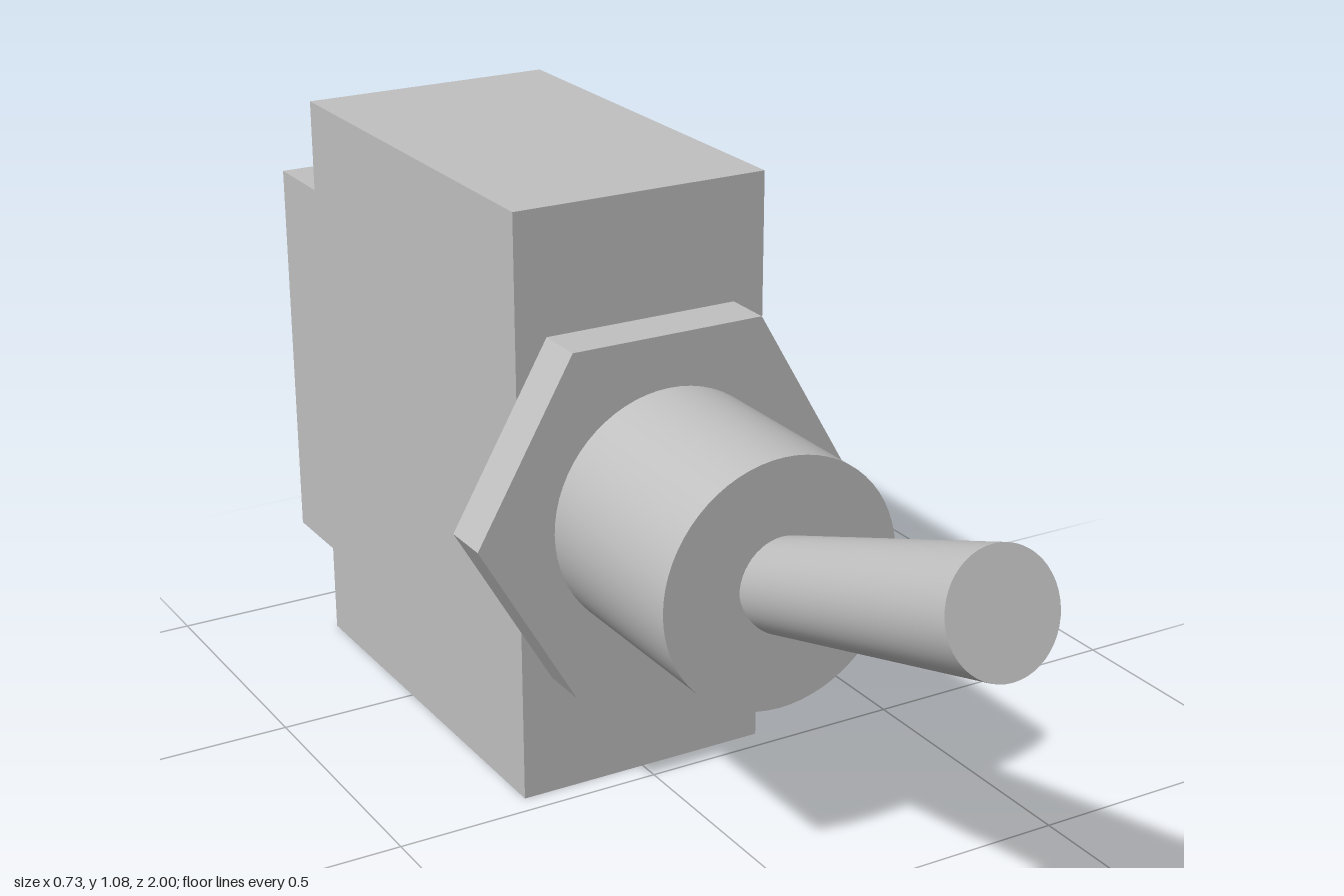
import * as THREE from 'three';
import { toCreasedNormals } from 'three/addons/utils/BufferGeometryUtils.js';

const MID_Y = 0.5375; // height of the switch axis

export function createModel() {
  const group = new THREE.Group();
  const grey = new THREE.MeshStandardMaterial({ color: 0xc0c0c0 });
  grey.name = 'grey';

  const add = (name, geometry) => {
    const mesh = new THREE.Mesh(geometry, grey);
    mesh.name = name;
    group.add(mesh);
    return mesh;
  };

  // Box centred on the switch axis, between two depths
  const block = (name, width, height, z0, z1) =>
    add(name, new THREE.BoxGeometry(width, height, z1 - z0).translate(0, MID_Y, (z0 + z1) / 2));

  // Cylinder or prism lying along z, between two depths
  const barrel = (name, radius, sides, z0, z1) => {
    const geometry = new THREE.CylinderGeometry(radius, radius, z1 - z0, sides, 1, false, Math.PI / 2)
      .rotateX(Math.PI / 2)
      .translate(0, MID_Y, (z0 + z1) / 2);
    return add(name, toCreasedNormals(geometry, Math.PI / 6));
  };

  // Housing with a narrower terminal block at the back
  block('housing', 0.48, 1.075, -0.85, -0.04);
  block('terminalBlock', 0.48, 0.735, -1, -0.85);

  // Hexagonal nut and round bushing
  barrel('hexNut', 0.363, 6, -0.04, 0.05);
  barrel('bushing', 0.22, 64, 0.05, 0.405);

  // Lever widens to its tip and tilts upward
  const length = 0.594;
  const lever = add('lever', new THREE.CylinderGeometry(0.1, 0.08, length, 48).translate(0, length / 2, 0));
  lever.position.set(0, MID_Y, 0.405);
  lever.rotation.x = Math.PI / 2 - THREE.MathUtils.degToRad(18);

  return group;
}
